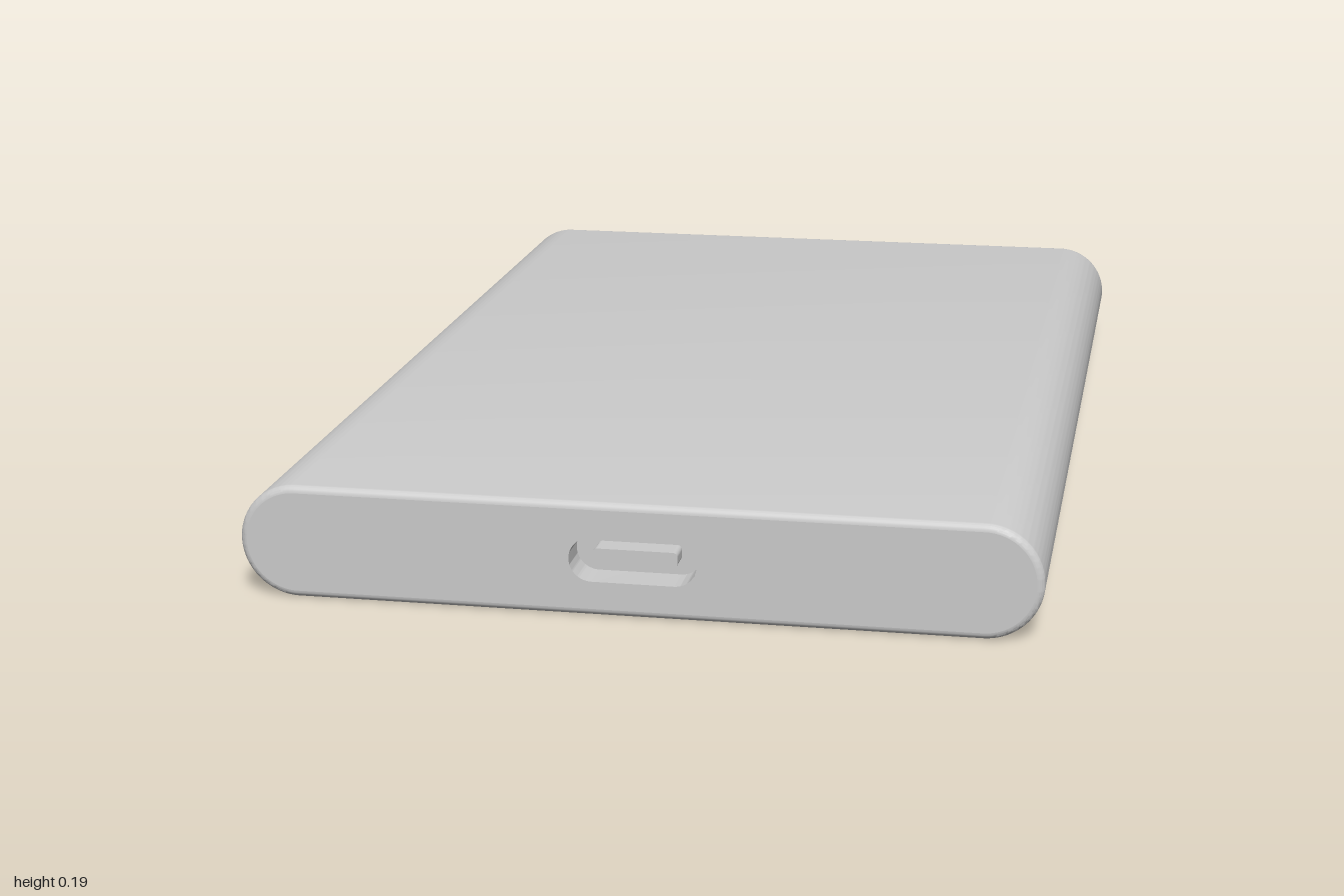
import * as THREE from 'three';
import { toCreasedNormals } from 'three/addons/utils/BufferGeometryUtils.js';

const W = 1.34, H = 0.195, L = 2, BEVEL = 0.012, SEG = 24;
const SOCKET = [0.214, 0.076], SOCKET_DEPTH = 0.06;

// Rounded rectangle centred on the origin, running anticlockwise
function roundedShape(w, h, r = h / 2) {
  const x = w / 2 - r, y = h / 2 - r, q = Math.PI / 2;
  const s = new THREE.Shape();
  s.moveTo(-x, -h / 2);
  s.lineTo(x, -h / 2);
  s.absarc(x, -y, r, -q, 0, false);
  s.absarc(x, y, r, 0, q, false);
  s.absarc(-x, y, r, q, 2 * q, false);
  s.absarc(-x, -y, r, 2 * q, 3 * q, false);
  return s;
}

// Skin between pill outlines; each ring is [inset, z].
// Rising z faces outward, falling z faces inward.
function loft(w, h, rings) {
  const pos = [], index = [];
  let n = 0;
  for (const [inset, z] of rings) {
    const pts = roundedShape(w - 2 * inset, h - 2 * inset).getPoints(SEG);
    n = pts.length;
    for (const p of pts) pos.push(p.x, p.y, z);
  }
  for (let j = 0; j < rings.length - 1; j++) {
    for (let i = 0; i < n - 1; i++) {
      const a = j * n + i, d = a + n;
      index.push(a, a + 1, d + 1, a, d + 1, d);
    }
  }
  const g = new THREE.BufferGeometry();
  g.setAttribute('position', new THREE.Float32BufferAttribute(pos, 3));
  g.setIndex(index);
  return toCreasedNormals(g, 0.6);
}

export function createModel() {
  const model = new THREE.Group();
  model.name = 'portableDrive';
  const grey = new THREE.MeshStandardMaterial({ color: 0xcccccc });
  const add = (name, geometry, z = 0) => {
    const mesh = new THREE.Mesh(geometry, grey);
    mesh.name = name;
    mesh.position.set(0, H / 2, z);
    model.add(mesh);
    return mesh;
  };

  // Case sleeve with softly rounded end edges
  const back = [], front = [];
  for (let i = 0; i <= 5; i++) {
    const a = (i / 5) * Math.PI / 2;
    const inset = BEVEL * (1 - Math.sin(a)), z = L / 2 - BEVEL * (1 - Math.cos(a));
    back.push([inset, -z]);
    front.unshift([inset, z]);
  }
  add('caseSleeve', loft(W, H, [...back, ...front]));

  // End panels, the front one cut for the socket
  const end = () => roundedShape(W - 2 * BEVEL, H - 2 * BEVEL);
  add('backPanel', new THREE.ShapeGeometry(end(), SEG), -L / 2).rotation.y = Math.PI;
  const face = end();
  face.holes.push(roundedShape(...SOCKET));
  add('frontPanel', new THREE.ShapeGeometry(face, SEG), L / 2);

  // Recessed socket with its contact tongue
  const floorZ = L / 2 - SOCKET_DEPTH;
  add('socketWall', loft(...SOCKET, [[0, L / 2], [0, floorZ]]));
  add('socketFloor', new THREE.ShapeGeometry(roundedShape(...SOCKET), SEG), floorZ);
  add('socketTongue', new THREE.ExtrudeGeometry(roundedShape(0.142, 0.026, 0.008), {
    depth: SOCKET_DEPTH - 0.02, bevelEnabled: false, curveSegments: 6,
  }), floorZ);

  return model;
}
